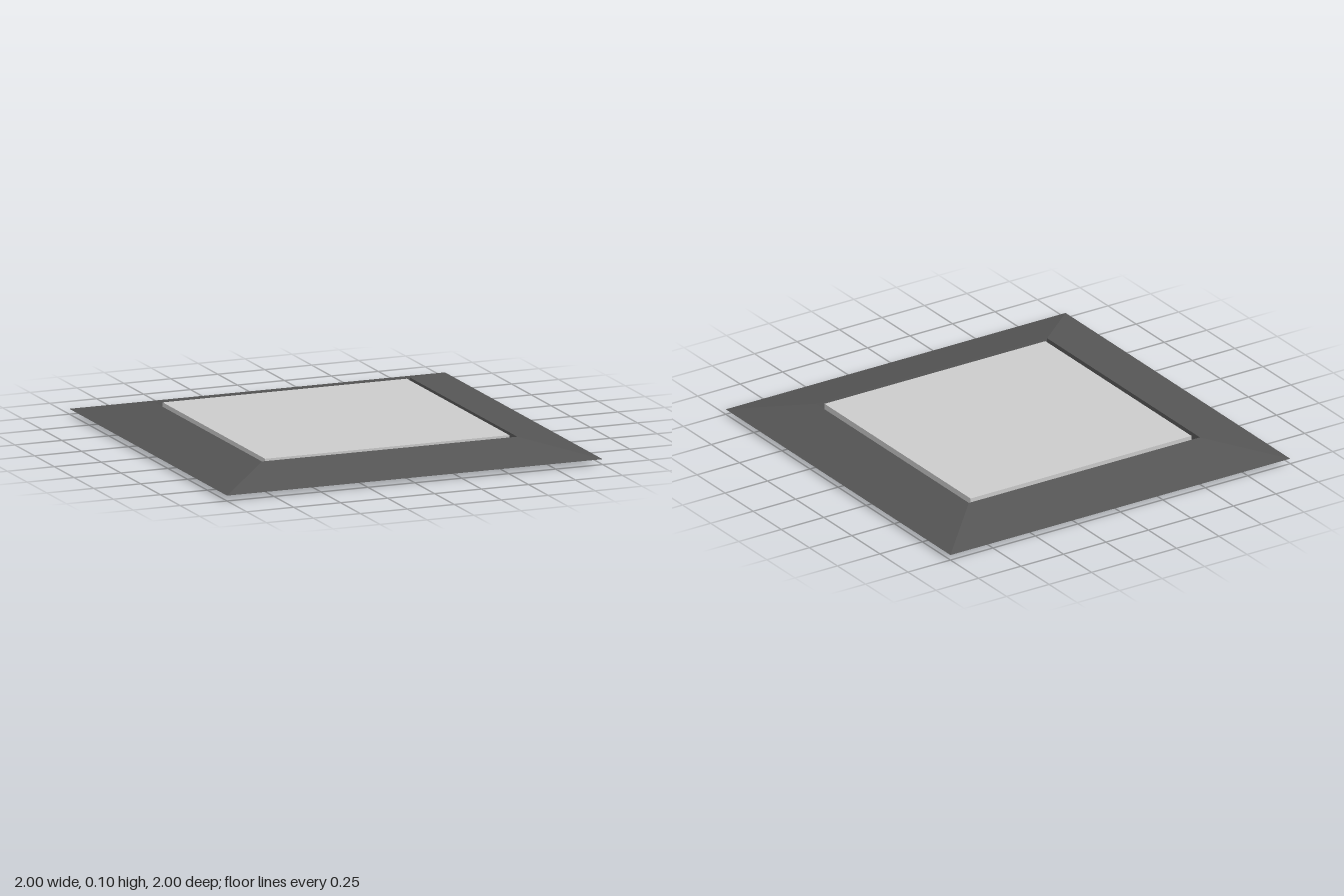
import * as THREE from 'three';

// Sweeps a [half-width, height] profile around a square, giving mitred corners.
function squareSweep(name, color, profile) {
  const points = profile.map(([half, y]) => new THREE.Vector2(half * Math.SQRT2, y));
  const geometry = new THREE.LatheGeometry(points, 4, Math.PI / 4);
  const material = new THREE.MeshStandardMaterial({ color, flatShading: true, side: THREE.DoubleSide });
  const mesh = new THREE.Mesh(geometry, material);
  mesh.name = name;
  return mesh;
}

export function createModel() {
  const group = new THREE.Group();
  group.name = 'framedPanel';

  // Thin bevelled surround: outer slope, then a steep inner lip down to the base
  group.add(squareSweep('frame', 0x555555, [[1, 0.027], [0.68, 0.1], [0.652, 0]]));

  // Pale raised panel with straight sides, open underneath
  group.add(squareSweep('panel', 0xcccccc, [[0.65, 0], [0.65, 0.104], [0, 0.104]]));

  return group;
}
